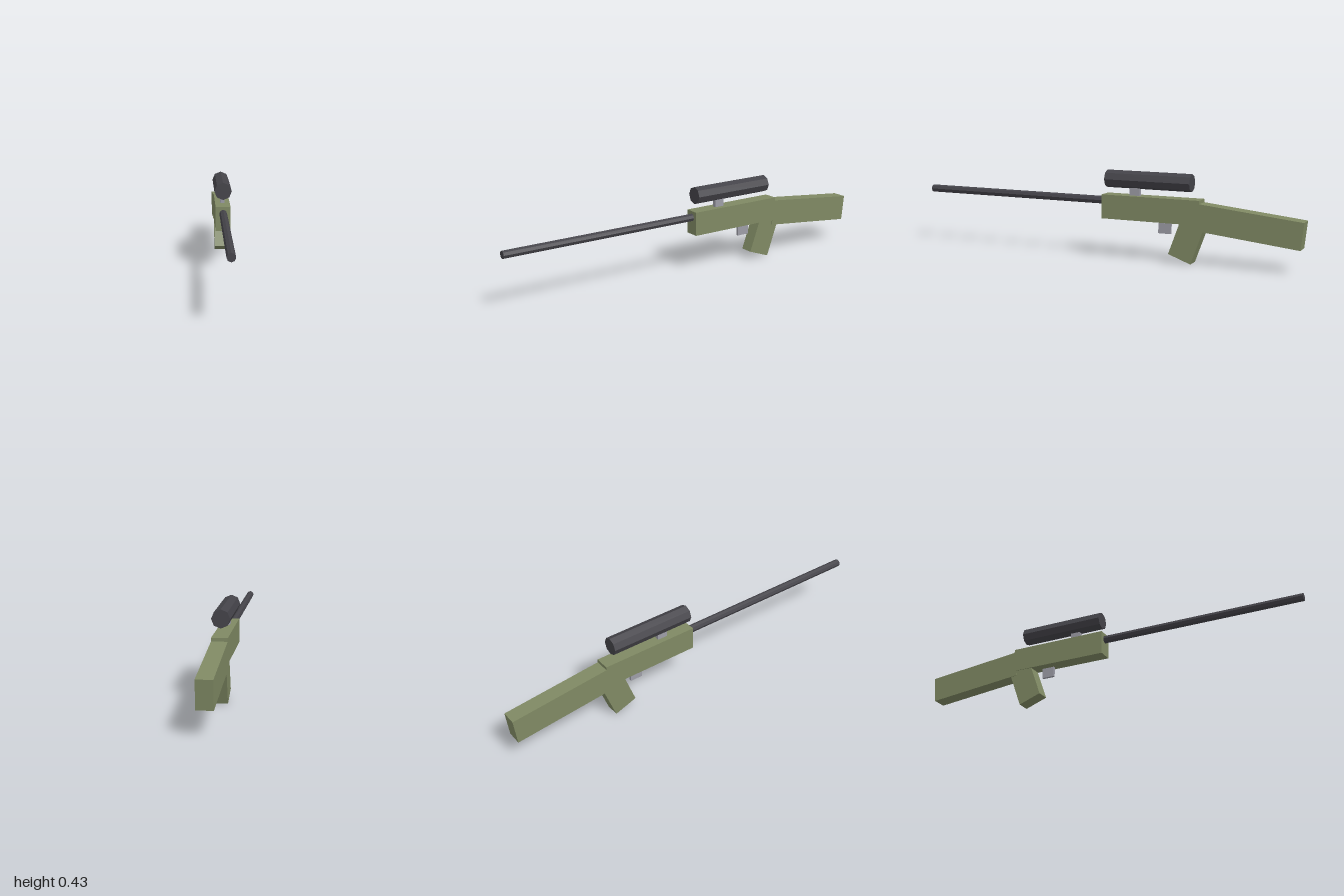
import * as THREE from 'three';

const mat = (name, color) => {
  const m = new THREE.MeshStandardMaterial({ color, flatShading: true });
  m.name = name;
  return m;
};

export function createModel() {
  const olive = mat('olive green', 0x7f8963);
  const black = mat('gunmetal black', 0x444349);
  const steel = mat('steel grey', 0x9c9ca6);
  const group = new THREE.Group();
  group.name = 'scopedRifle';

  const add = (name, geometry, material, y, z, tilt = 0) => {
    const mesh = new THREE.Mesh(geometry, material);
    mesh.name = name;
    mesh.position.set(0, y, z);
    mesh.rotation.x = THREE.MathUtils.degToRad(tilt);
    group.add(mesh);
  };
  const box = (w, h, d) => new THREE.BoxGeometry(w, h, d);
  // Octagonal rod lying along z
  const rod = (r, length) => new THREE.CylinderGeometry(r, r, length, 8).rotateX(Math.PI / 2);

  // Body
  add('receiver', box(0.074, 0.118, 0.5), olive, 0.249, -0.256);
  add('stock', box(0.074, 0.129, 0.5), olive, 0.202, -0.7445, -6);
  add('grip', box(0.067, 0.2, 0.12), olive, 0.115, -0.443, -20);

  // Barrel and scope
  add('barrel', rod(0.0192, 1.007), black, 0.276, 0.4965);
  add('scope', rod(0.043, 0.436), black, 0.384, -0.239);

  // Small metal parts
  add('scopeMount', box(0.02, 0.045, 0.052), steel, 0.328, -0.168);
  add('trigger', box(0.013, 0.051, 0.064), steel, 0.1585, -0.323);

  return group;
}
